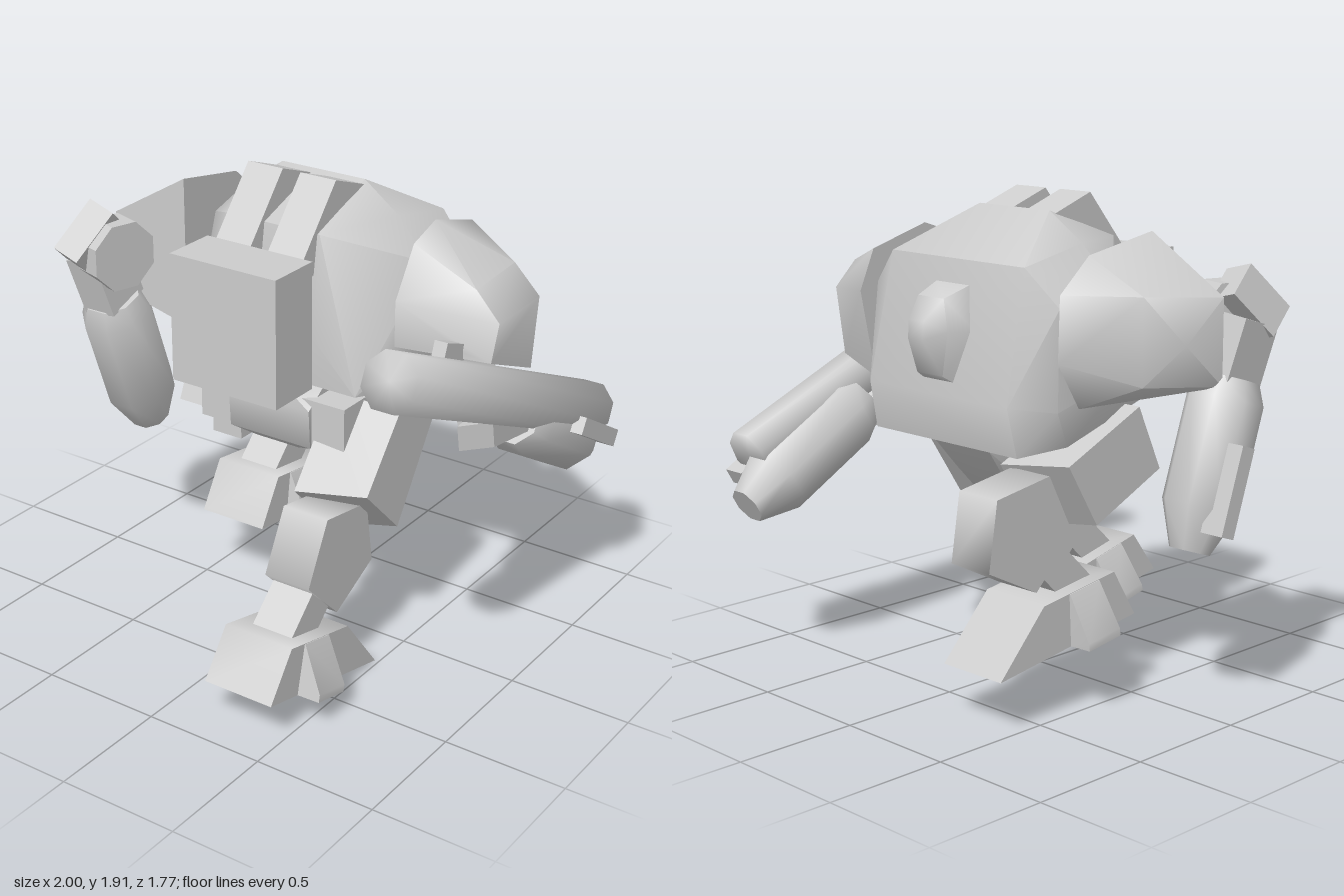
import * as THREE from 'three';
import { toCreasedNormals } from 'three/addons/utils/BufferGeometryUtils.js';
import { ConvexGeometry } from 'three/addons/geometries/ConvexGeometry.js';

const V = (x, y, z) => new THREE.Vector3(x, y, z);

// Removes the underside of a non-indexed block, leaving an open shell
function openBottom(geo) {
  const p = geo.getAttribute('position'), kept = [];
  for (let i = 0; i < p.count; i += 3) {
    const [a, b, c] = [0, 1, 2].map(k => V(0, 0, 0).fromBufferAttribute(p, i + k));
    if (Math.max(a.y, b.y, c.y) > 0.001) kept.push(a, b, c);
  }
  const shell = new THREE.BufferGeometry().setFromPoints(kept);
  shell.computeVertexNormals();
  return shell;
}

export function createModel() {
  const model = new THREE.Group();
  const armour = new THREE.MeshStandardMaterial({ color: 0xcccccc, side: THREE.DoubleSide });
  armour.name = 'light grey armour';

  const add = (name, geo, crease = 0.55, parent = model) => {
    const mesh = new THREE.Mesh(toCreasedNormals(geo, crease), armour);
    mesh.name = name;
    parent.add(mesh);
    return mesh;
  };
  // Convex block from corner points [x, y, z]
  const block = pts => new ConvexGeometry(pts.map(p => V(...p)));
  const hull = (name, pts, crease) => add(name, block(pts), crease);
  // Same, mirrored in x
  const mirrored = (name, pts, crease) =>
    hull(name, [...pts, ...pts.map(([x, y, z]) => [-x, y, z])], crease);
  // Side profile [z, y] stretched from x0 to x1
  const stretch = (poly, x0, x1) => poly.flatMap(([z, y]) => [[x0, y, z], [x1, y, z]]);
  const prism = (name, poly, x0, x1, crease = 0.3) => hull(name, stretch(poly, x0, x1), crease);
  // Part built along +y, placed from point a to point b
  const between = (obj, a, b) => {
    obj.position.copy(a).add(b).multiplyScalar(0.5);
    obj.quaternion.setFromUnitVectors(V(0, 1, 0), b.clone().sub(a).normalize());
    return obj;
  };
  const box = (name, w, d, a, b) =>
    between(add(name, new THREE.BoxGeometry(w, a.distanceTo(b), d)), a, b);

  // Torso shell
  mirrored('torso', [
    [0.19, 1.86, -0.14], [0.35, 1.75, -0.13], [0.5, 1.6, -0.11],
    [0.36, 1.69, -0.44], [0.5, 1.55, -0.4],
    [0.38, 1.19, -0.55], [0.39, 1.0, -0.51], [0.5, 1.17, -0.41], [0.48, 1.03, -0.34],
    [0.5, 1.28, 0.0], [0.21, 1.74, 0.19], [0.22, 1.35, 0.25], [0.38, 1.13, 0.2],
  ], 0.75);

  // Rear bump
  mirrored('rearBump', [
    [0.09, 1.6, -0.46], [0.14, 1.43, -0.47], [0.09, 1.22, -0.5],
    [0.07, 1.56, -0.57], [0.1, 1.44, -0.58], [0.07, 1.27, -0.58],
    [0.04, 1.48, -0.645], [0.04, 1.41, -0.65],
  ], 1.2);

  // Chest box and twin roof blocks
  prism('chestBox', [[0.28, 1.16], [0.51, 1.16], [0.51, 1.67], [0.28, 1.67]], -0.24, 0.24);
  for (const s of [-1, 1]) {
    prism('roofBlock', [[0.07, 1.915], [0.28, 1.665], [0.1, 1.45], [-0.14, 1.84]], s * 0.04, s * 0.2);
  }

  // Pelvis and hip axle
  mirrored('pelvis', [
    [0.19, 1.03, 0.23], [0.08, 1.1, 0.22], [0.19, 1.12, 0.1], [0.19, 1.12, -0.35],
    [0.19, 0.87, 0.22], [0.1, 0.83, 0.17], [0.19, 0.82, -0.08], [0.11, 0.75, -0.08], [0.03, 0.72, -0.12],
    [0.19, 0.84, -0.28], [0.11, 0.76, -0.25], [0.03, 0.73, -0.22], [0.15, 0.97, -0.42],
  ], 0.9);
  prism('hipAxle', [[0.21, 0.87], [0.21, 1.07], [-0.1, 1.07], [-0.1, 0.87]], -0.34, 0.34);
  prism('hipJoint', [[0.14, 0.77], [0.14, 0.9], [-0.06, 0.9], [-0.06, 0.77]], -0.34, -0.2);

  // Legs: the left one steps forward, the right one trails.
  // Thigh: inner profile, then its knee corners on the shorter outer side
  const legs = [
    { side: 'left', x: 0.33, inner: 0.2, outer: 0.5,
      thigh: [[0.08, 1.07], [-0.17, 0.93], [0.1, 0.5], [0.34, 0.74]],
      thighOuter: [[0.07, 1.05], [-0.17, 0.93], [0.07, 0.56], [0.29, 0.78]],
      shin: [0.346, 0.53], ankle: [0.62, 0.27], heel: [0.185, 0], pitch: 0.234 },
    { side: 'right', x: -0.335, inner: -0.2, outer: -0.5,
      thigh: [[0.15, 0.87], [0.03, 1.13], [-0.41, 0.93], [-0.26, 0.68]],
      thighOuter: [[0.15, 0.87], [0.03, 1.13], [-0.35, 0.96], [-0.2, 0.71]],
      shin: [-0.49, 0.716], ankle: [-0.2, 0.43], heel: [-0.69, 0.21], pitch: 0.14 },
  ];
  for (const { side, x, inner, outer, thigh, thighOuter, shin, ankle, heel, pitch } of legs) {
    hull(side + 'Thigh', [
      ...thigh.map(([z, y]) => [inner, y, z]), ...thighOuter.map(([z, y]) => [outer, y, z]),
    ], 0.4);
    const pentagon = [0, 1, 2, 3, 4].map(i => {
      const t = (-81 + 72 * i) * Math.PI / 180;
      return [shin[0] + 0.23 * Math.cos(t), shin[1] + 0.23 * Math.sin(t)];
    });
    prism(side + 'Shin', pentagon, x - 0.1, x + 0.1, 1.35);
    box(side + 'Ankle', 0.18, 0.15, V(x, shin[1], shin[0]), V(x, ankle[1], ankle[0]));

    // Hollow foot shell with a flared toe on each side
    const foot = new THREE.Group();
    foot.name = side + 'Foot';
    foot.position.set(x, heel[1], heel[0]);
    foot.rotation.x = -pitch;
    model.add(foot);
    const wedge = [[0, 0], [0.725, 0], [0.636, 0.207], [0.255, 0.207]];
    add('footWedge', openBottom(block(stretch(wedge, -0.152, 0.152))), 1.3, foot);
    for (const s of [-1, 1]) {
      const toe = [
        [s * 0.14, 0.207, 0.39], [s * 0.14, 0.207, 0.55], [s * 0.155, 0.205, 0.39], [s * 0.155, 0.205, 0.55],
        [s * 0.245, 0.03, 0.375], [s * 0.245, 0.03, 0.545], [s * 0.245, 0, 0.375], [s * 0.245, 0, 0.545],
        [s * 0.14, 0, 0.37], [s * 0.14, 0, 0.55],
      ];
      add('sideToe', openBottom(block(toe)), 0.7, foot);
    }
  }

  // Shoulders
  hull('leftShoulder', [
    [0.5, 1.76, -0.15], [0.5, 1.71, 0], [0.5, 1.52, 0.12], [0.5, 1.34, 0.12], [0.5, 1.17, -0.42],
    [0.5, 1.52, -0.49], [0.5, 1.68, -0.42],
    [0.76, 1.58, -0.02], [0.76, 1.36, 0.06], [0.76, 1.6, -0.3],
    [0.86, 1.47, -0.02], [0.86, 1.33, 0.03], [0.86, 1.2, -0.28], [0.86, 1.48, -0.32],
  ], 0.85);
  hull('rightShoulder', [
    [-0.5, 1.79, 0.09], [-0.5, 1.73, -0.25], [-0.5, 1.6, -0.4], [-0.5, 1.35, -0.41], [-0.5, 1.17, -0.3], [-0.5, 1.17, 0.09],
    [-0.74, 1.6, -0.22], [-0.74, 1.27, -0.22], [-0.84, 1.42, -0.1],
    [-0.86, 1.58, 0.08], [-0.86, 1.25, 0.08],
  ], 0.85);

  // Forearm: eight-sided pod with an outer plate
  const forearm = (name, s, a, b) => {
    const g = between(new THREE.Group(), a, b);
    g.name = name;
    model.add(g);
    const h = a.distanceTo(b) / 2;
    const profile = [[0, -h], [0.115, -h], [0.15, -h + 0.08], [0.15, h - 0.17], [0.08, h], [0, h]]
      .map(p => new THREE.Vector2(...p));
    add('pod', new THREE.LatheGeometry(profile, 8, Math.PI / 8), 0.9, g);
    const plate = add('outerPlate', new THREE.BoxGeometry(0.1, 0.34, 0.07), 0.5, g);
    plate.position.set(s * 0.14, 0.08, 0.04);
  };
  forearm('leftForearm', 1, V(0.81, 1.0, -0.25), V(0.81, 0.66, -0.84));
  forearm('rightForearm', -1, V(-0.81, 1.26, 0.185), V(-0.81, 0.64, -0.03));

  // Long cannon on the left arm
  const tail = V(0.867, 0.845, -0.78), muzzle = V(0.867, 1.525, 0.735);
  between(add('cannonBarrel',
    new THREE.CylinderGeometry(0.112, 0.112, tail.distanceTo(muzzle), 8, 1, false, Math.PI / 8), 2.5), tail, muzzle);

  // Left elbow
  box('leftElbowPlate', 0.055, 0.15, V(0.73, 1.2, 0.18), V(0.73, 1.41, 0.1));
  box('leftUpperArm', 0.1, 0.2, V(0.67, 1.28, -0.1), V(0.79, 0.97, -0.1));
  const elbow = [[0.05, 1.08], [0.03, 0.97], [-0.24, 0.93], [-0.28, 1.03], [-0.15, 1.1]];
  hull('leftElbow', elbow.flatMap(([z, y]) => [[0.74, y - 0.03, z], [0.89, y + 0.03, z]]), 0.3);

  // Right elbow: eight-sided hub, angled link and upper arm
  const hub = add('rightElbowHub', new THREE.CylinderGeometry(0.145, 0.145, 0.13, 8, 1, false, Math.PI / 8), 0.3);
  hub.position.set(-0.735, 1.48, 0.235);
  hub.rotation.set(0, -0.3, Math.PI / 2);
  box('rightElbowLink', 0.13, 0.15, V(-0.85, 1.45, 0.36), V(-0.79, 1.62, 0.2));
  box('rightUpperArm', 0.15, 0.2, V(-0.8, 1.24, 0.18), V(-0.83, 1.48, 0.25));

  return model;
}
